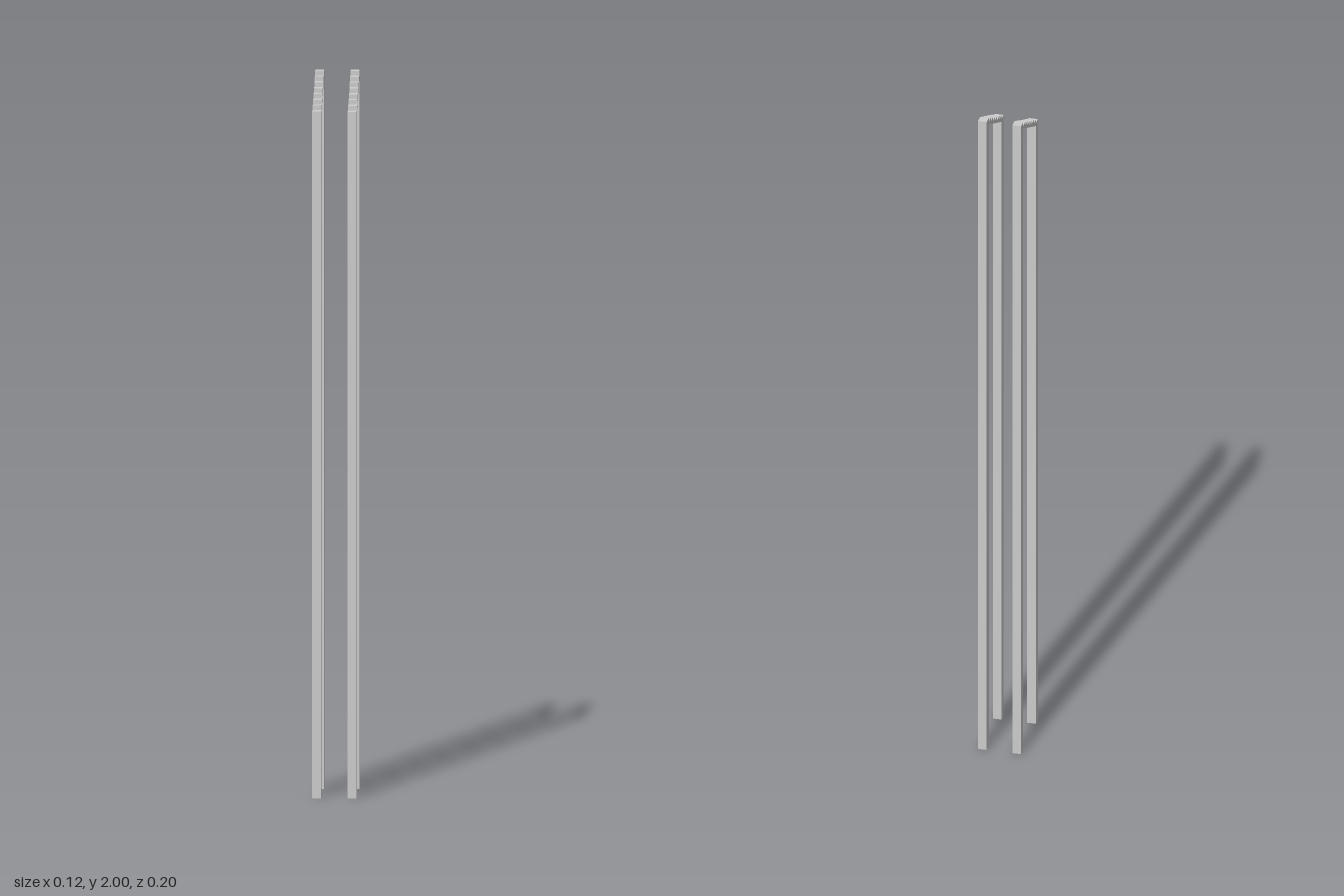
import * as THREE from 'three';

export function createModel() {
  const model = new THREE.Group();
  const mat = new THREE.MeshStandardMaterial({ color: 0xcccccc, flatShading: true });
  const w = 0.0245, rise = 0.0125, steps = 6;
  const frontTop = 2 - rise * (steps + 1);
  const inner = w * steps / 2; // inner faces of the posts
  const postZ = inner + w / 2;

  function post(name, x, z, h) {
    const mesh = new THREE.Mesh(new THREE.BoxGeometry(w, h, w), mat);
    mesh.name = name;
    mesh.position.set(x, h / 2, z);
    model.add(mesh);
  }

  // Stepped profile with a straight sloping underside; u runs from front to back
  const profile = new THREE.Shape();
  const under = frontTop - 0.0085;
  profile.moveTo(-inner, under);
  profile.lineTo(inner, under + rise * steps);
  for (let i = steps; i >= 1; i--) {
    const y = frontTop + rise * i;
    profile.lineTo(-inner + w * i, y);
    profile.lineTo(-inner + w * (i - 1), y);
  }
  profile.closePath();
  const stairGeo = new THREE.ExtrudeGeometry(profile, { depth: w, bevelEnabled: false });
  stairGeo.translate(0, 0, -w / 2);
  stairGeo.rotateY(Math.PI / 2);

  // Two matching frames, side by side
  for (const [side, x] of [['left', 0.0488], ['right', -0.0488]]) {
    post(side + 'FrontPost', x, postZ, frontTop);
    post(side + 'BackPost', x, -postZ, 2);
    const stair = new THREE.Mesh(stairGeo, mat);
    stair.name = side + 'SteppedRail';
    stair.position.x = x;
    model.add(stair);
  }
  return model;
}
